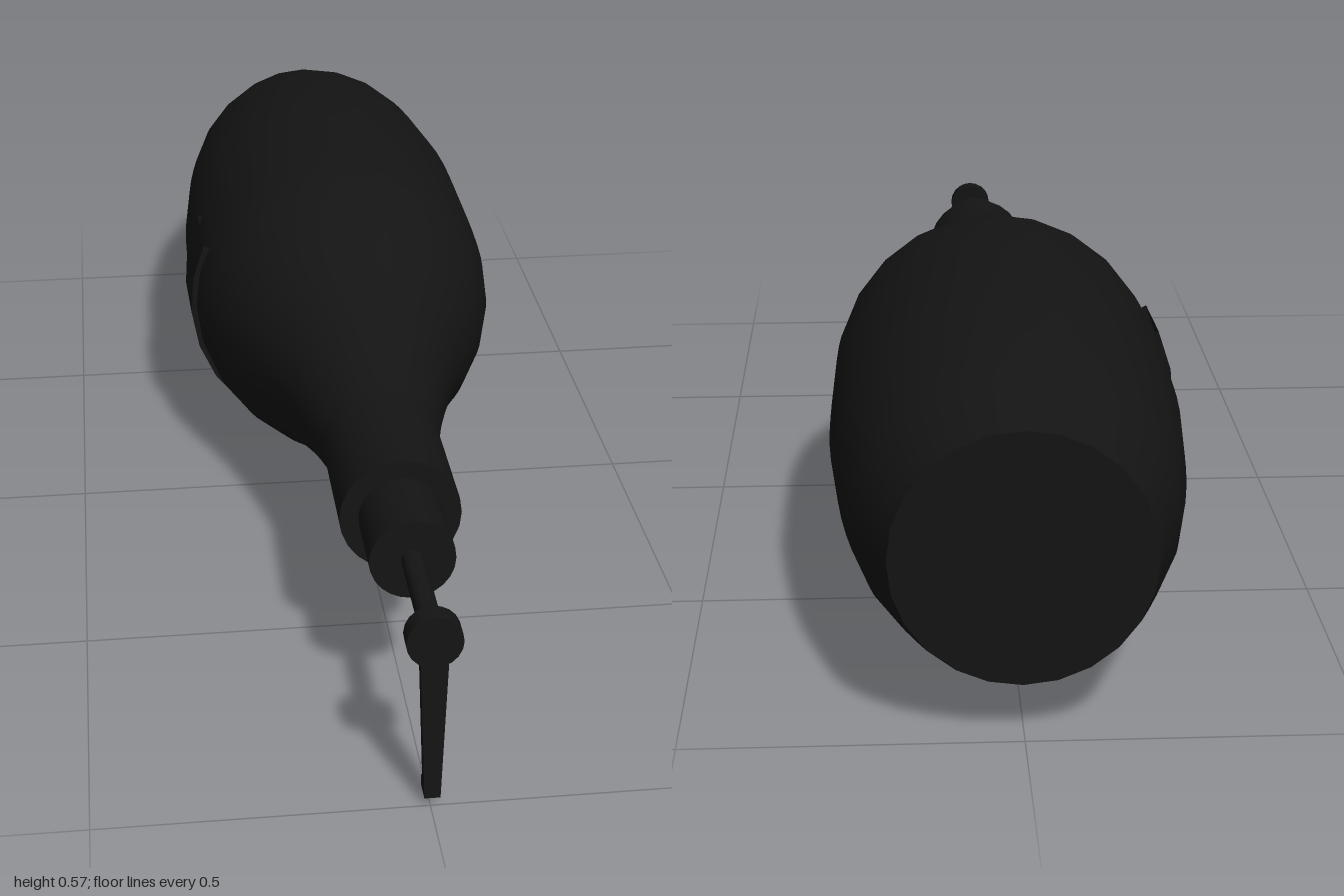
import * as THREE from 'three';
import { toCreasedNormals } from 'three/addons/utils/BufferGeometryUtils.js';

const AXIS_X = 0.003, AXIS_Y = 0.285;

export function createModel() {
  const model = new THREE.Group();
  const black = new THREE.MeshStandardMaterial({ color: 0x141414 });
  const blackThin = new THREE.MeshStandardMaterial({ color: 0x141414, side: THREE.DoubleSide });

  function add(name, geometry, material = black) {
    const mesh = new THREE.Mesh(toCreasedNormals(geometry, 0.6), material);
    mesh.name = name;
    mesh.position.set(AXIS_X, AXIS_Y, 0);
    model.add(mesh);
    return mesh;
  }

  // Turns a list of [z, radius] pairs around the long axis
  function turned(profile, sides = 24, start = 0, sweep = Math.PI * 2) {
    const points = profile.map(([z, r]) => new THREE.Vector2(r, z));
    return new THREE.LatheGeometry(points, sides, start, sweep).rotateX(Math.PI / 2);
  }

  // Swelling grip with a flat butt and a straight neck
  const swell = new THREE.SplineCurve([
    [-1, 0.193], [-0.9, 0.226], [-0.8, 0.253], [-0.6, 0.278], [-0.4, 0.283],
    [-0.2, 0.277], [-0.1, 0.26], [0, 0.225], [0.1, 0.182], [0.2, 0.147],
    [0.3, 0.119], [0.4, 0.097],
  ].map(([z, r]) => new THREE.Vector2(z, r))).getPoints(33).map(p => [p.x, p.y]);
  add('gripBody', turned([[-1, 0], ...swell, [0.635, 0.097], [0.635, 0]]));

  // Thin raised pad on the lower right of the grip
  const deg = Math.PI / 180;
  add('sidePad', turned(
    [[-0.35, 0.272], [-0.35, 0.291], [-0.2, 0.287], [-0.2, 0.268]],
    6, 245 * deg, 85 * deg), blackThin);

  // Stepped collar, rod and round head
  add('collar', turned([[0.62, 0], [0.62, 0.067], [0.77, 0.067], [0.77, 0]]));
  add('rod', turned([[0.75, 0], [0.75, 0.018], [0.98, 0.018], [0.98, 0]], 16));
  add('head', turned([[0.967, 0], [0.967, 0.042], [1, 0.042], [1, 0]], 20));

  // Tapered arm hanging from the head
  const outline = new THREE.Shape([
    [-0.021, -0.02], [-0.012, -0.27], [0.012, -0.27], [0.021, -0.02],
  ].map(([x, y]) => new THREE.Vector2(x, y)));
  add('arm', new THREE.ExtrudeGeometry(outline, { depth: 0.02, bevelEnabled: false })
    .translate(0, 0, 0.98));

  // Small hook at the tip, turned back toward the grip
  add('hook', new THREE.BoxGeometry(0.024, 0.018, 0.036).translate(0, -0.261, 0.982));

  return model;
}
